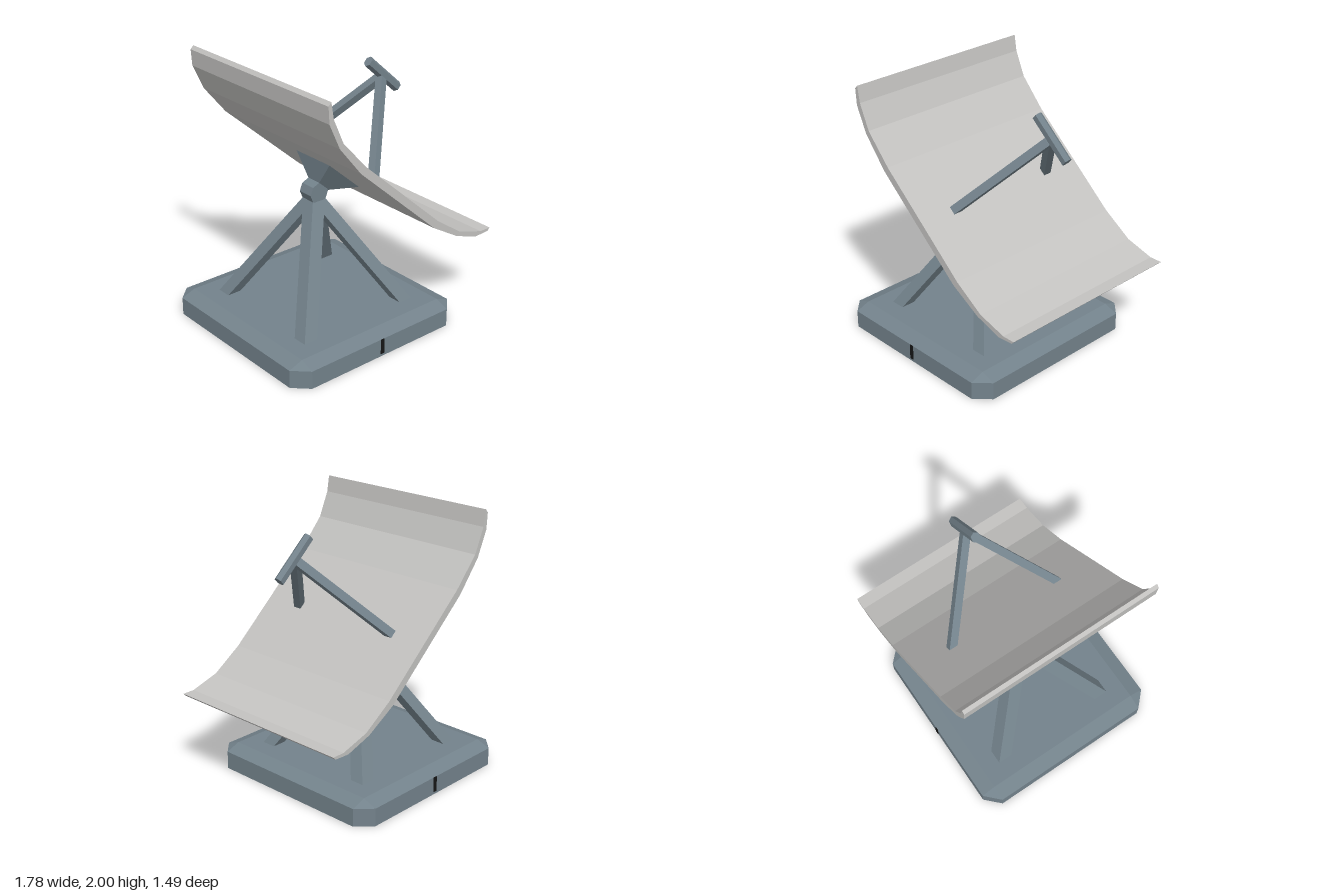
import * as THREE from 'three';
import { ConvexGeometry } from 'three/addons/geometries/ConvexGeometry.js';

export function createModel() {
  const group = new THREE.Group();
  const material = (name, color) => {
    const m = new THREE.MeshStandardMaterial({ color });
    m.name = name;
    return m;
  };
  const steel = material('blue grey steel', 0x73828b);
  const pale = material('pale grey', 0xc3c2c0);
  const black = material('black', 0x151515);
  const add = (name, geometry, mat) => {
    const mesh = new THREE.Mesh(geometry, mat);
    mesh.name = name;
    group.add(mesh);
    return mesh;
  };
  const v = (x, y, z) => new THREE.Vector3(x, y, z);
  const signs = [[-1, -1], [1, -1], [1, 1], [-1, 1]];
  // Four corners of a parallelogram around a centre
  const quad = (c, a, b) => signs.map(([i, j]) =>
    c.clone().addScaledVector(a, i).addScaledVector(b, j));

  const cx = -0.153; // axis of the stand
  const normal = v(0.665, 0.747, 0); // dish facing
  const along = v(0.747, -0.665, 0); // down the dish slope
  const tilt = Math.atan2(along.y, along.x);

  // Base slab with cut corners and a bevelled top
  const basePoints = quad(v(cx, 0.175, 0), v(0.633, 0, 0), v(0, 0, 0.635));
  for (const y of [0, 0.135]) {
    for (const [i, j] of signs) {
      basePoints.push(v(cx + i * 0.742, y, j * 0.635), v(cx + i * 0.633, y, j * 0.742));
    }
  }
  add('base', new ConvexGeometry(basePoints), steel);

  // Small dark plates on the front and back edges of the base
  for (const s of [-1, 1]) {
    add('baseMark', new THREE.BoxGeometry(0.03, 0.115, 0.008), black)
      .position.set(cx, 0.078, s * 0.743);
  }

  // Four slanting legs meeting under the pivot
  const legX = v(0.055, 0, 0), legZ = v(0, 0, 0.055);
  for (const [i, j] of signs) {
    add('leg', new ConvexGeometry([
      ...quad(v(cx + i * 0.448, 0.17, j * 0.448), legX, legZ),
      ...quad(v(cx, 0.96, 0), legX, legZ),
    ]), steel);
  }

  // Pivot joint
  const pivot = add('pivot', new THREE.CylinderGeometry(0.08, 0.08, 0.12, 8).toNonIndexed(), steel);
  pivot.geometry.computeVertexNormals();
  pivot.rotation.x = Math.PI / 2;
  pivot.position.set(cx, 1.012, 0);

  // Pyramid bracket behind the dish
  add('bracket', new ConvexGeometry([
    ...quad(v(-0.024, 1.148, 0), along.clone().multiplyScalar(0.184), v(0, 0, 0.184)),
    v(-0.15, 1.005, 0),
  ]), steel);

  // Curved trough dish
  const profile = [
    [-0.62, 2.0], [-0.6, 1.88], [-0.52, 1.7], [-0.33, 1.49], [0.355, 0.885],
    [0.58, 0.732], [0.795, 0.667], [0.89, 0.667],
    [0.87, 0.646], [0.75, 0.64], [0.55, 0.706], [0.315, 0.845], [-0.37, 1.45],
    [-0.55, 1.67], [-0.635, 1.855], [-0.643, 1.975],
  ].map(([x, y]) => new THREE.Vector2(x, y));
  const dish = new THREE.ExtrudeGeometry(new THREE.Shape(profile), { depth: 1.484, bevelEnabled: false });
  add('dish', dish.translate(0, 0, -0.742), pale);

  // Two struts holding the receiver
  const strutA = along.clone().multiplyScalar(0.03), strutZ = v(0, 0, 0.033);
  for (const s of [-1, 1]) {
    add('strut', new ConvexGeometry([
      ...quad(v(0.012, 1.193, s * 0.44), strutA, strutZ),
      ...quad(v(0.475, 1.722, 0), strutA, strutZ),
    ]), steel);
  }

  // Hexagonal receiver bar parallel to the dish, ridge facing outward
  const bar = [];
  for (const end of [-0.188, 0.188]) {
    for (let k = 0; k < 6; k++) {
      const a = k * Math.PI / 3;
      bar.push(v(end, 0.04 * Math.cos(a), 0.034 * Math.sin(a)));
    }
  }
  const receiver = add('receiver', new ConvexGeometry(bar), steel);
  receiver.rotation.z = tilt;
  receiver.position.set(0.488, 1.737, 0);

  return group;
}
